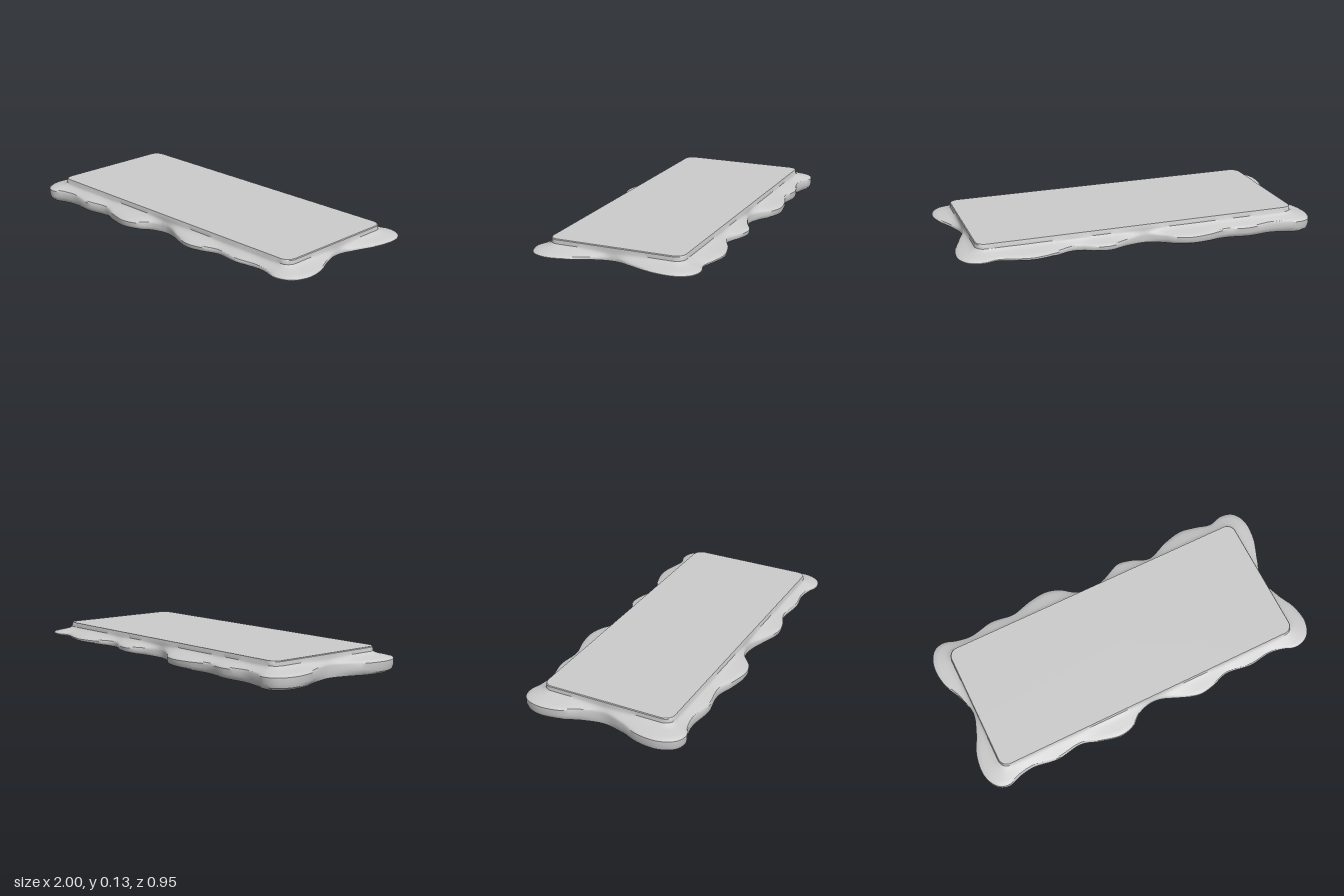
import * as THREE from 'three';
import { toCreasedNormals } from 'three/addons/utils/BufferGeometryUtils.js';

// Wavy skirt outline as [x, z], running along the back, right, front and left
const BACK = [[-0.96, -0.43], [-0.9, -0.452], [-0.82, -0.43], [-0.74, -0.42], [-0.6, -0.448], [-0.47, -0.435],
  [-0.35, -0.467], [-0.25, -0.478], [-0.17, -0.455], [-0.1, -0.405], [-0.02, -0.375], [0.08, -0.4], [0.2, -0.453],
  [0.28, -0.44], [0.38, -0.403], [0.5, -0.45], [0.62, -0.477], [0.72, -0.46], [0.8, -0.44], [0.88, -0.46], [0.95, -0.44]];
const RIGHT = [[0.99, -0.37], [0.985, -0.25], [0.94, -0.12], [0.9, 0], [0.935, 0.12], [0.985, 0.23], [0.998, 0.34]];
const FRONT = [[0.96, 0.42], [0.88, 0.45], [0.8, 0.425], [0.72, 0.415], [0.6, 0.43], [0.45, 0.413], [0.35, 0.445],
  [0.26, 0.457], [0.15, 0.42], [0.06, 0.382], [0, 0.375], [-0.08, 0.4], [-0.15, 0.455], [-0.23, 0.475],
  [-0.35, 0.45], [-0.45, 0.418], [-0.6, 0.438], [-0.74, 0.418], [-0.82, 0.43], [-0.9, 0.455], [-0.96, 0.43]];
const LEFT = [[-0.998, 0.35], [-0.99, 0.23], [-0.94, 0.11], [-0.91, 0], [-0.94, -0.12], [-0.99, -0.23], [-0.998, -0.35]];

const HALF_X = 0.895, HALF_Z = 0.368, CORNER = 0.05, SAMPLES = 360;

// The underside is a plane rising towards +x
const underside = (x) => 0.032 + 0.03 * x;

// Nearest point on the rounded rectangle of the raised top
function plateauPoint(p) {
  const cx = THREE.MathUtils.clamp(p.x, CORNER - HALF_X, HALF_X - CORNER);
  const cz = THREE.MathUtils.clamp(p.z, CORNER - HALF_Z, HALF_Z - CORNER);
  const d = new THREE.Vector3(p.x - cx, 0, p.z - cz).setLength(CORNER);
  return new THREE.Vector3(cx + d.x, 0, cz + d.z);
}

// Cross-section rings: out = 0 at the plateau, 1 at the outline;
// y = fixed height, or drop = share of the way from the rim to the underside
const RINGS = [
  { scale: 0, out: 0, y: 0.13 },
  { scale: 0.996, out: 0, y: 0.13 },
  { scale: 1, out: 0, y: 0.126 },
  { scale: 1, out: 0.02, y: 0.105 },
  { scale: 1, out: 0.12, y: 0.096 },
  { scale: 1, out: 0.35, y: 0.089 },
  { scale: 1, out: 0.7, y: 0.081 },
  { scale: 1, out: 0.93, y: 0.075 },
  { scale: 1, out: 1, drop: 0 },
  { scale: 1, out: 1, drop: 0.5 },
  { scale: 1, out: 0.94, drop: 0.8 },
  { scale: 1, out: 0.78, drop: 1 },
  { scale: 1, out: 0, drop: 1 },
  { scale: 0, out: 0, drop: 1 },
];
const RIM = 0.068;

function slabGeometry() {
  const points = [...BACK, ...RIGHT, ...FRONT, ...LEFT].map(([x, z]) => new THREE.Vector3(x, 0, z));
  const outline = new THREE.CatmullRomCurve3(points, true).getSpacedPoints(SAMPLES).slice(0, SAMPLES);
  const positions = [], index = [];
  for (const { scale, out, y, drop } of RINGS) {
    for (const p of outline) {
      const q = plateauPoint(p).lerp(p, out).multiplyScalar(scale);
      positions.push(q.x, y ?? THREE.MathUtils.lerp(RIM, underside(q.x), drop), q.z);
    }
  }
  for (let k = 0; k < RINGS.length - 1; k++) {
    for (let i = 0; i < SAMPLES; i++) {
      const j = (i + 1) % SAMPLES;
      const a = k * SAMPLES + i, b = k * SAMPLES + j, c = a + SAMPLES, d = b + SAMPLES;
      if (RINGS[k].scale > 0) index.push(a, b, c);
      if (RINGS[k + 1].scale > 0) index.push(b, d, c);
      // Close the underside on its centre
      if (RINGS[k + 1].scale === 0 && RINGS[k].scale === 0) index.push(a, b, d);
    }
  }
  const geometry = new THREE.BufferGeometry();
  geometry.setAttribute('position', new THREE.Float32BufferAttribute(positions, 3));
  geometry.setIndex(index);
  return toCreasedNormals(geometry, 0.6);
}

export function createModel() {
  const model = new THREE.Group();
  model.name = 'scallopedSlab';
  const grey = new THREE.MeshStandardMaterial({ color: 0xcccccc });
  grey.name = 'light grey';

  // Raised tablet with its flowing skirt
  const slab = new THREE.Mesh(slabGeometry(), grey);
  slab.name = 'slab';
  model.add(slab);

  // Thin level bar emerging from the sloping underside
  const bar = new THREE.Mesh(new THREE.BoxGeometry(0.89, 0.013, 0.013), grey);
  bar.name = 'undersideBar';
  bar.position.set(0.3, 0.031, 0.2);
  model.add(bar);

  return model;
}
